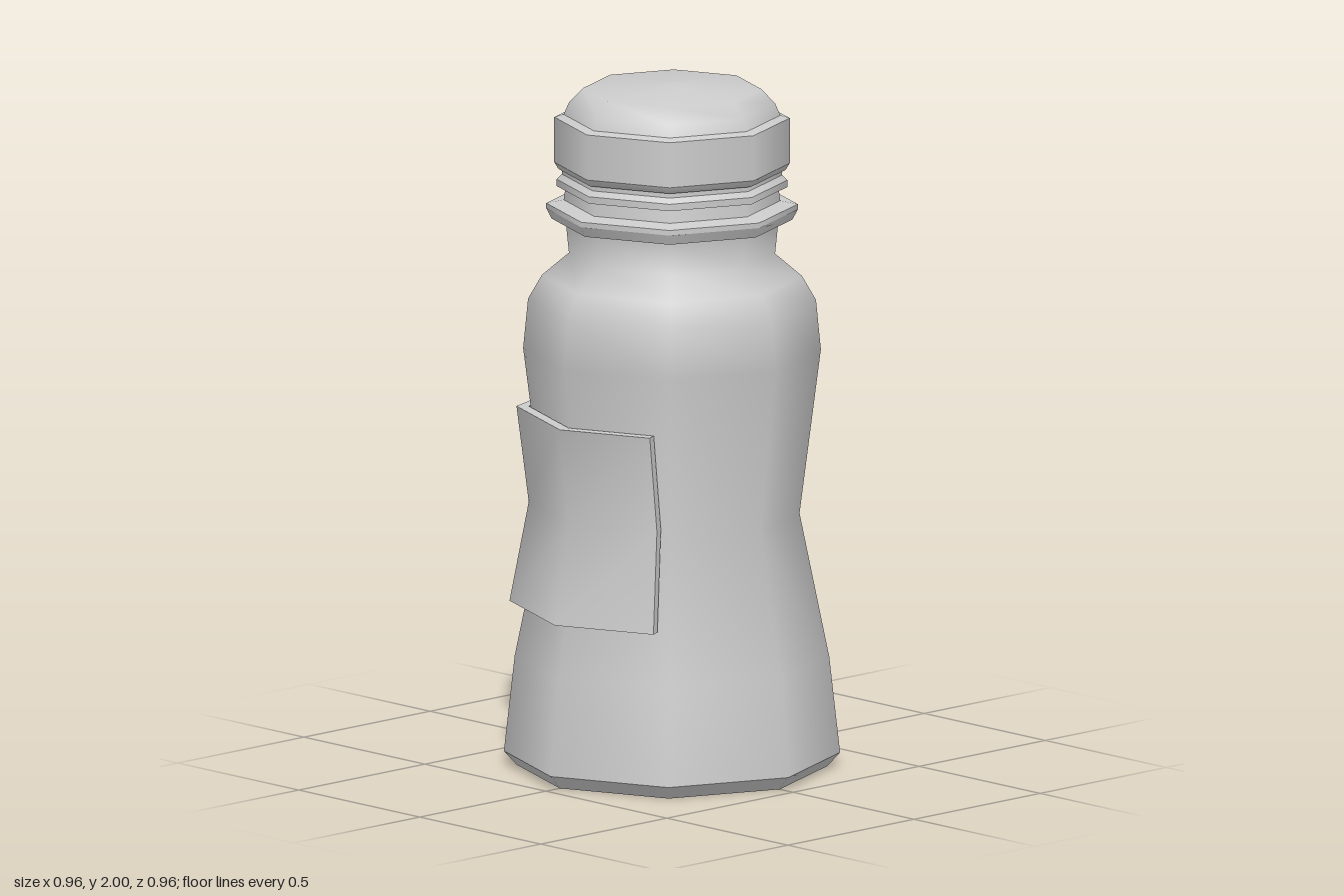
import * as THREE from 'three';
import { toCreasedNormals } from 'three/addons/utils/BufferGeometryUtils.js';

const SIDES = 8;
const material = new THREE.MeshStandardMaterial({ color: 0xcccccc, side: THREE.DoubleSide });

// Eight-sided revolved part; each strip is smooth, edges between strips stay sharp
function turned(name, strips) {
  const part = new THREE.Group();
  part.name = name;
  strips.forEach((strip, i) => {
    const points = strip.map(([r, y]) => new THREE.Vector2(r, y));
    const mesh = new THREE.Mesh(new THREE.LatheGeometry(points, SIDES), material);
    mesh.name = name + 'Band' + (i + 1);
    part.add(mesh);
  });
  return part;
}

// Sharp-edged revolved part: every profile segment is its own strip
const sharp = (profile) => profile.slice(1).map((p, i) => [profile[i], p]);

// Raised panel wrapped over the front facets, following the waist
function labelPanel() {
  const thickness = 0.035;
  // y, radius, radius at the side end, x of the front end
  const rows = [[0.48, 0.465, 0.457, 0.285], [0.77, 0.41, 0.41, 0.255], [1.05, 0.445, 0.42, 0.26]];
  const slope = Math.tan(Math.PI / 8);
  const outline = ([y, r, side, end], inset) => {
    const R = r - inset, d = R * Math.SQRT1_2;
    return [[-(side - inset * 0.7), y, 0.01], [-d, y, d], [0, y, R], [end - inset * 0.4, y, R - (end - inset * 0.4) * slope]];
  };
  const outer = rows.map((row) => outline(row, 0));
  const inner = rows.map((row) => outline(row, thickness));
  const positions = [];
  const quad = (a, b, c, d) => positions.push(...a, ...b, ...c, ...a, ...c, ...d);

  for (let j = 0; j < 2; j++) {
    for (let i = 0; i < 3; i++) {
      quad(outer[j][i], outer[j][i + 1], outer[j + 1][i + 1], outer[j + 1][i]);
      quad(inner[j][i + 1], inner[j][i], inner[j + 1][i], inner[j + 1][i + 1]);
    }
    quad(inner[j][0], outer[j][0], outer[j + 1][0], inner[j + 1][0]);
    quad(outer[j][3], inner[j][3], inner[j + 1][3], outer[j + 1][3]);
  }
  for (let i = 0; i < 3; i++) {
    quad(inner[0][i], inner[0][i + 1], outer[0][i + 1], outer[0][i]);
    quad(outer[2][i], outer[2][i + 1], inner[2][i + 1], inner[2][i]);
  }
  const geometry = new THREE.BufferGeometry();
  geometry.setAttribute('position', new THREE.Float32BufferAttribute(positions, 3));
  const mesh = new THREE.Mesh(toCreasedNormals(geometry, 0.9), material);
  mesh.name = 'label';
  return mesh;
}

export function createModel() {
  const bottle = new THREE.Group();
  bottle.name = 'bottle';

  // Flat foot with a chamfered rim
  bottle.add(turned('base', sharp([[0, 0], [0.445, 0], [0.481, 0.04]])));

  // Waisted body, rounded shoulder and neck
  bottle.add(turned('body', [[
    [0.481, 0.04], [0.45, 0.32], [0.365, 0.74], [0.426, 1.22],
    [0.412, 1.365], [0.372, 1.435], [0.295, 1.5], [0.305, 1.6],
  ]]));

  // Collar and thin ring below the cap
  bottle.add(turned('collar', sharp([
    [0.3, 1.595], [0.345, 1.6], [0.36, 1.63], [0.36, 1.645], [0.31, 1.655], [0.305, 1.69],
  ])));
  bottle.add(turned('neckRing', sharp([
    [0.3, 1.69], [0.33, 1.695], [0.33, 1.715], [0.315, 1.73], [0.315, 1.75],
  ])));

  // Cap with a small ledge and a shallow dome
  bottle.add(turned('cap', [
    [[0.3, 1.74], [0.325, 1.745], [0.337, 1.765]],
    [[0.337, 1.765], [0.337, 1.897]],
    [[0.337, 1.897], [0.31, 1.905]],
    [[0.31, 1.905], [0.295, 1.94], [0.255, 1.982], [0, 2]],
  ]));

  bottle.add(labelPanel());
  return bottle;
}
